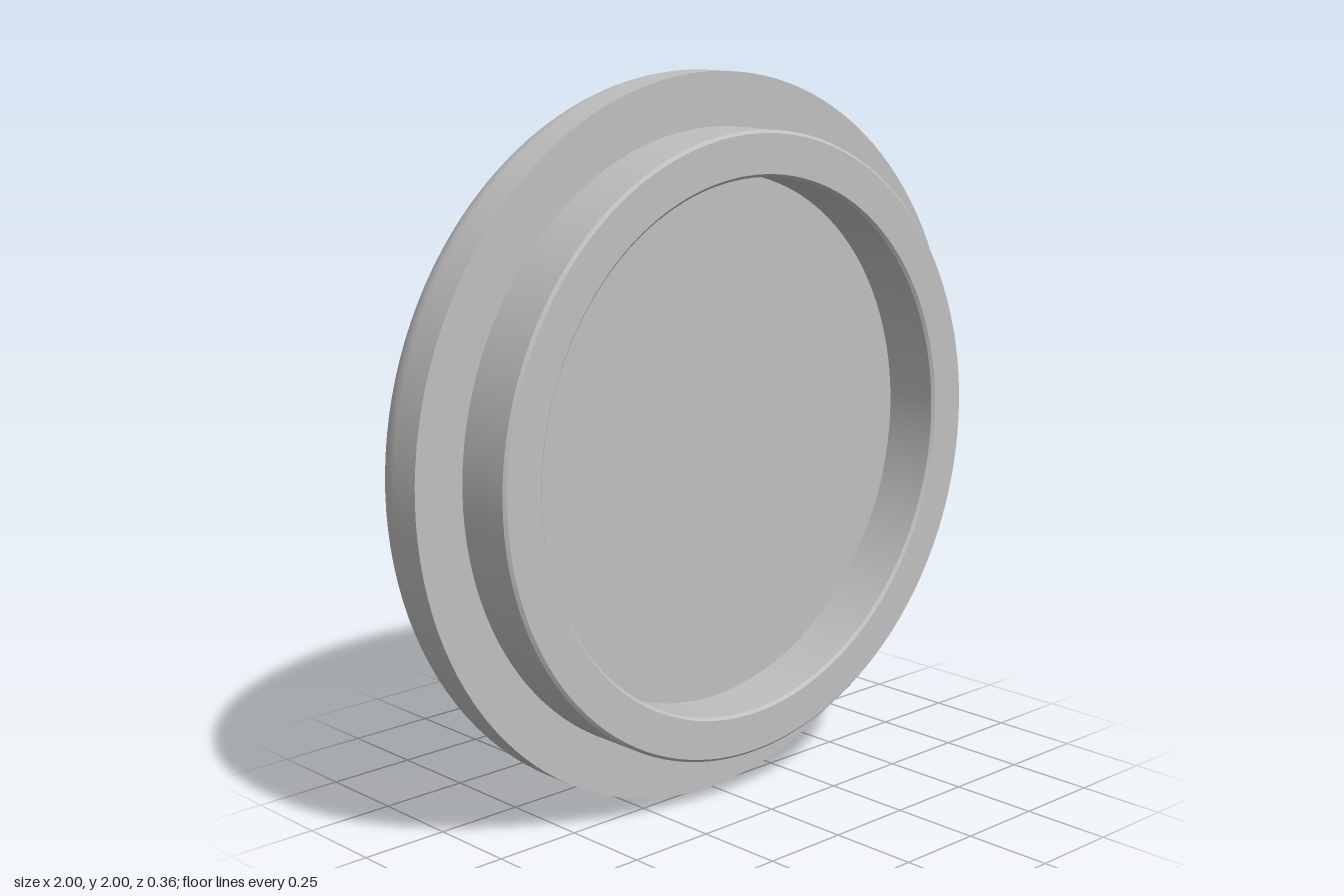
import * as THREE from 'three';

const SEGMENTS = 128;

export function createModel() {
  const group = new THREE.Group();
  group.name = 'cap';
  const grey = new THREE.MeshStandardMaterial({ color: 0xbfbfbf });
  grey.name = 'grey';

  // Revolve a short [radius, z] profile about the z axis; separate pieces keep edges sharp
  const turn = (name, profile) => {
    const points = profile.map(([r, z]) => new THREE.Vector2(r, z));
    const geometry = new THREE.LatheGeometry(points, SEGMENTS);
    geometry.rotateX(Math.PI / 2);
    const mesh = new THREE.Mesh(geometry, grey);
    mesh.name = name;
    mesh.position.y = 1;
    group.add(mesh);
  };

  const back = -0.178, step = 0.012, front = 0.178;
  const fillet = 0.1, chamfer = 0.008;
  const outer = 0.855, inner = 0.732;

  // Rounded back corner of the disc
  const arc = [];
  for (let i = 0; i <= 16; i++) {
    const a = (i / 16) * Math.PI / 2;
    arc.push([1 - fillet + fillet * Math.sin(a), back + fillet - fillet * Math.cos(a)]);
  }

  // Disc
  turn('backFace', [[0, back], [1 - fillet, back]]);
  turn('roundedEdge', arc);
  turn('discRim', [[1, back + fillet], [1, step]]);
  turn('shoulder', [[1, step], [outer, step]]);

  // Raised ring with small chamfers
  turn('ringOuterWall', [[outer, step], [outer, front - chamfer]]);
  turn('ringOuterChamfer', [[outer, front - chamfer], [outer - chamfer, front]]);
  turn('ringFace', [[outer - chamfer, front], [inner + chamfer, front]]);
  turn('ringInnerChamfer', [[inner + chamfer, front], [inner, front - chamfer]]);
  turn('ringInnerWall', [[inner, front - chamfer], [inner, step]]);

  // Recess floor inside the ring
  turn('recessFloor', [[inner, step], [0, step]]);

  return group;
}
